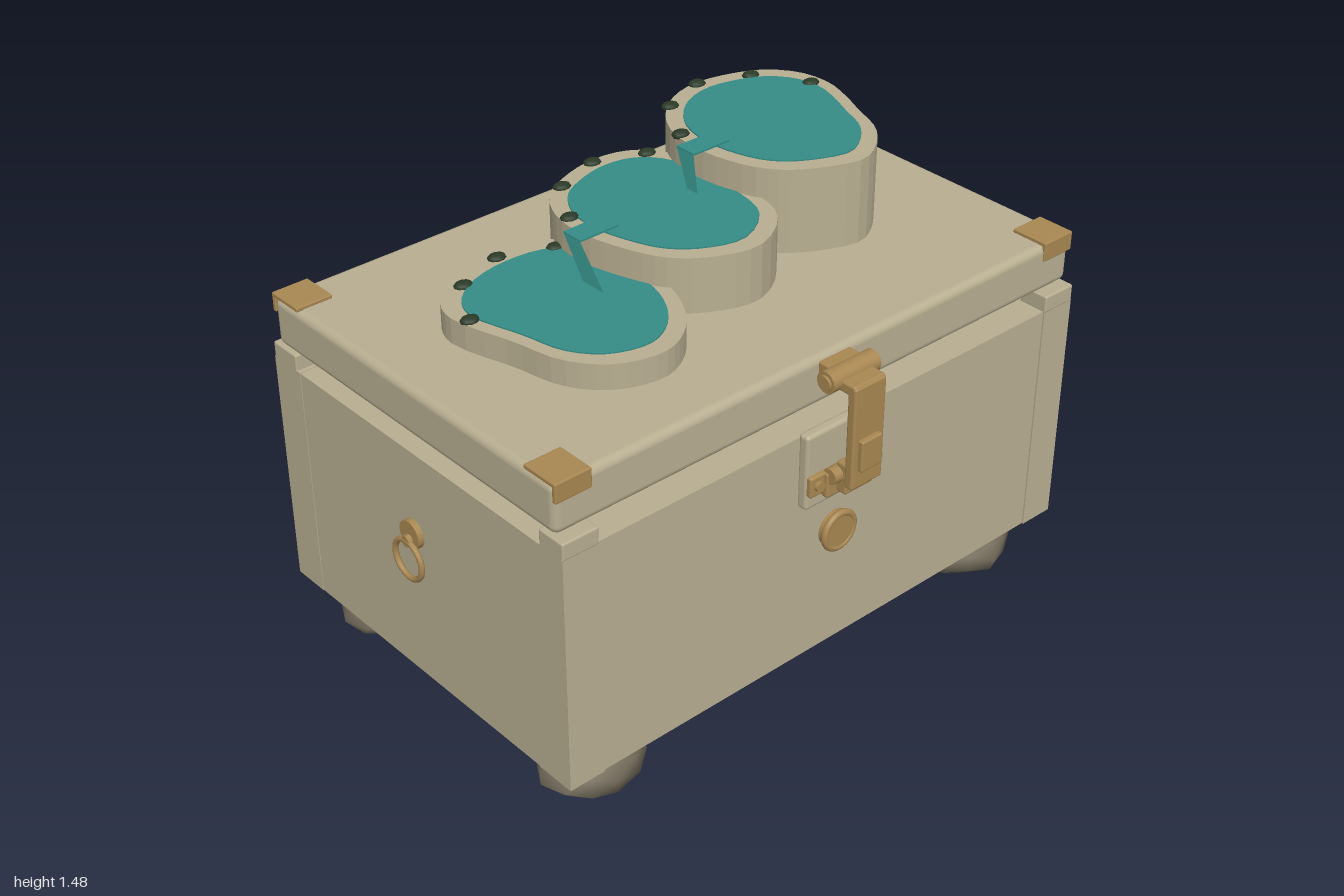
import * as THREE from 'three';
import { mergeVertices } from 'three/addons/utils/BufferGeometryUtils.js';
import { RoundedBoxGeometry } from 'three/addons/geometries/RoundedBoxGeometry.js';

const mat = (name, color, side = THREE.FrontSide) => {
  const m = new THREE.MeshStandardMaterial({ color, side });
  m.name = name;
  return m;
};

export function createModel() {
  const root = new THREE.Group();
  root.name = 'chest';
  const beige = mat('beige', 0xb8ae91);
  const brass = mat('brass', 0xa88752);
  const darkGreen = mat('darkGreen', 0x2b3a28);
  const teal = mat('teal', 0x358c86, THREE.DoubleSide);
  const stone = mat('stone', 0x746c5b);
  const CX = 0.015; // middle of the chest

  const add = (name, geo, material, x = 0, y = 0, z = 0) => {
    const m = new THREE.Mesh(geo, material);
    m.name = name;
    m.position.set(x, y, z);
    root.add(m);
    return m;
  };
  // box given by its limits, with optional rounded edges
  const box = (name, material, x0, x1, y0, y1, z0, z1, r = 0) => add(name,
    r ? new RoundedBoxGeometry(x1 - x0, y1 - y0, z1 - z0, 3, r)
      : new THREE.BoxGeometry(x1 - x0, y1 - y0, z1 - z0),
    material, (x0 + x1) / 2, (y0 + y1) / 2, (z0 + z1) / 2);
  // cylinder lying along the x or z axis
  const rod = (name, material, r, len, axis, x, y, z, sides = 24) => {
    const g = new THREE.CylinderGeometry(r, r, len, sides);
    if (axis === 'x') g.rotateZ(Math.PI / 2); else g.rotateX(Math.PI / 2);
    return add(name, g, material, x, y, z);
  };

  // Box, base and lid
  box('body', beige, -0.963, 0.993, 0.214, 0.988, -0.672, 0.626);
  box('base', beige, -0.885, 0.915, 0.18, 0.216, -0.585, 0.535, 0.008);
  box('liner', darkGreen, -0.87, 0.9, 0.97, 1.05, -0.565, 0.515);
  box('lid', beige, -0.965, 0.995, 1.045, 1.2, -0.65, 0.605, 0.025);

  // Corner posts, post caps and lid corner plates
  for (const sx of [-1, 1]) for (const front of [true, false]) {
    const [x0, x1] = sx < 0 ? [-0.965, -0.845] : [0.875, 0.995];
    if (front) box('cornerPost', beige, x0, x1, 0.214, 0.99, 0.5, 0.631);
    else box('cornerPost', beige, x0, x1, 0.214, 0.99, -0.677, -0.55);
    if (front) box('postCap', beige, x0, x1, 0.985, 1.04, 0.535, 0.633, 0.006);
    else box('postCap', beige, x0, x1, 0.985, 1.04, -0.677, -0.565, 0.006);
    const [z0, z1] = front ? [0.485, 0.611] : [-0.656, -0.53];
    box('cornerPlateTop', brass, x0, x1, 1.197, 1.211, z0, z1, 0.004);
    const zf = front ? 0.604 : -0.65;
    box('cornerPlateSide', brass, x0, x1, 1.15, 1.21, zf - 0.007, zf + 0.007, 0.004);
  }

  // Rough stone feet
  for (const x of [-0.76, 0.79]) for (const z of [0.457, -0.505]) {
    let g = new THREE.IcosahedronGeometry(1, 1);
    g.deleteAttribute('normal');
    g.deleteAttribute('uv');
    g = mergeVertices(g, 1e-3);
    const p = g.attributes.position;
    for (let i = 0; i < p.count; i++) {
      const k = 0.98 + 0.06 * Math.sin(i * 2.3 + x * 3 + z);
      p.setXYZ(i, p.getX(i) * k * 0.168, p.getY(i) * k * 0.092, p.getZ(i) * k * 0.144);
    }
    g.computeVertexNormals();
    add('foot', g, stone, x, 0.1, z);
  }

  // Three stacked drums: outlines are (x, z) points
  const drums = [
    { top: 1.28, mid: [-0.445, 0.055], outline: [[-0.742, -0.11], [-0.71, -0.2], [-0.6, -0.28], [-0.43, -0.312],
      [-0.27, -0.28], [-0.19, -0.17], [-0.175, -0.02], [-0.185, 0.15], [-0.24, 0.28], [-0.32, 0.365],
      [-0.42, 0.405], [-0.56, 0.365], [-0.65, 0.26], [-0.69, 0.1]] },
    { top: 1.375, mid: [0, -0.08], outline: [[-0.285, -0.12], [-0.265, -0.25], [-0.2, -0.35], [-0.1, -0.405],
      [0.03, -0.435], [0.15, -0.41], [0.23, -0.32], [0.25, -0.17], [0.245, 0.03], [0.2, 0.18],
      [0.04, 0.275], [-0.11, 0.23], [-0.2, 0.15], [-0.25, 0.04]] },
    { top: 1.47, mid: [0.485, -0.125], outline: [[0.182, -0.16], [0.205, -0.28], [0.265, -0.375], [0.355, -0.445],
      [0.47, -0.478], [0.6, -0.457], [0.7, -0.41], [0.77, -0.32], [0.785, -0.21], [0.757, -0.11],
      [0.715, -0.01], [0.67, 0.1], [0.6, 0.175], [0.5, 0.225], [0.38, 0.19], [0.29, 0.135], [0.235, 0.07], [0.195, -0.04]] },
  ];
  for (const { top, mid, outline } of drums) {
    const curve = new THREE.CatmullRomCurve3(outline.map(([x, z]) => new THREE.Vector3(x, 0, z)), true);
    const slab = (k, depth) => {
      const pts = curve.getPoints(48).slice(0, -1).map((p) =>
        new THREE.Vector2(mid[0] + (p.x - mid[0]) * k, -(mid[1] + (p.z - mid[1]) * k)));
      return new THREE.ExtrudeGeometry(new THREE.Shape(pts), { depth, bevelEnabled: false }).rotateX(-Math.PI / 2);
    };
    add('drum', slab(1, top - 1.19), beige, 0, 1.19, 0);
    add('drumSkin', slab(0.84, 0.005), teal, 0, top - 0.001, 0);
  }

  // Studs around the back of each rim
  const studs = [
    [1.28, [[-0.71, -0.065], [-0.61, -0.227], [-0.445, -0.29], [-0.283, -0.227]]],
    [1.375, [[-0.25, -0.2], [-0.148, -0.36], [0.016, -0.42], [0.178, -0.36]]],
    [1.47, [[0.208, -0.243], [0.31, -0.405], [0.475, -0.468], [0.64, -0.405], [0.74, -0.243]]],
  ];
  for (const [y, list] of studs) for (const [x, z] of list) {
    add('stud', new THREE.SphereGeometry(1, 10, 6).scale(0.03, 0.013, 0.024), darkGreen, x, y + 0.001, z);
  }

  // Ribbons running from a higher drum down to the next one
  const ribbon = (x, y, z, dz, w) => {
    box('ribbonTop', teal, x, x + 0.14, y + 0.004, y + 0.01, z, z + 0.073);
    const g = new THREE.BufferGeometry();
    g.setAttribute('position', new THREE.Float32BufferAttribute([
      x, y + 0.007, z, x, y + 0.007, z + 0.073,
      x - 0.027, y - 0.09, z + dz, x - 0.027, y - 0.09, z + dz + w], 3));
    g.setIndex([0, 2, 1, 1, 2, 3]);
    g.computeVertexNormals();
    add('ribbonFall', g, teal);
  };
  ribbon(-0.325, 1.375, -0.135, 0.115, 0.09);
  ribbon(0.137, 1.47, -0.18, 0.075, 0.045);

  // Back hinges
  for (const x of [-0.58, 0.61]) {
    rod('hingeBarrel', brass, 0.038, 0.22, 'x', x, 1.04, -0.722);
    box('hingeUpperLeaf', brass, x - 0.072, x + 0.072, 1.04, 1.135, -0.73, -0.645, 0.006);
    box('hingeLowerLeaf', brass, x - 0.072, x + 0.072, 0.81, 1.02, -0.708, -0.676, 0.006);
  }

  // Front latch
  box('latchPlate', beige, CX - 0.146, CX + 0.146, 0.755, 1.0, 0.62, 0.658, 0.012);
  box('latchMount', brass, CX - 0.06, CX + 0.06, 1.13, 1.185, 0.6, 0.66, 0.006);
  rod('latchBarrel', brass, 0.033, 0.18, 'x', CX, 1.157, 0.661);
  rod('latchPin', brass, 0.023, 0.196, 'x', CX, 1.157, 0.661);
  box('latchArm', brass, CX - 0.06, CX + 0.06, 1.13, 1.165, 0.66, 0.742, 0.008);
  box('latchStrap', brass, CX - 0.06, CX + 0.06, 0.83, 1.16, 0.715, 0.746, 0.008);
  box('latchTab', brass, CX - 0.04, CX + 0.04, 0.89, 0.99, 0.74, 0.762, 0.006);
  box('latchCatch', brass, CX - 0.09, CX + 0.09, 0.785, 0.87, 0.655, 0.685, 0.01);
  box('latchWings', brass, CX - 0.142, CX + 0.142, 0.802, 0.87, 0.65, 0.672, 0.008);
  rod('catchRod', brass, 0.025, 0.17, 'x', CX, 0.86, 0.685);
  box('latchHook', brass, CX - 0.055, CX + 0.055, 0.8, 0.9, 0.68, 0.72, 0.008);
  for (const s of [-1, 1]) rod('latchRivet', brass, 0.016, 0.02, 'z', CX + s * 0.113, 0.837, 0.673, 12);

  // Round lock knob
  rod('lockDisc', brass, 0.058, 0.035, 'z', CX, 0.62, 0.64, 32);
  add('lockRim', new THREE.TorusGeometry(0.057, 0.011, 10, 32), brass, CX, 0.62, 0.65);

  // Ring pull on the right side
  rod('ringBoss', brass, 0.045, 0.02, 'x', -0.972, 0.715, -0.03);
  rod('ringPin', brass, 0.018, 0.03, 'x', -0.982, 0.7, -0.03, 12);
  add('ring', new THREE.TorusGeometry(0.062, 0.009, 10, 32).rotateY(Math.PI / 2), brass, -0.99, 0.637, -0.03);

  return root;
}
